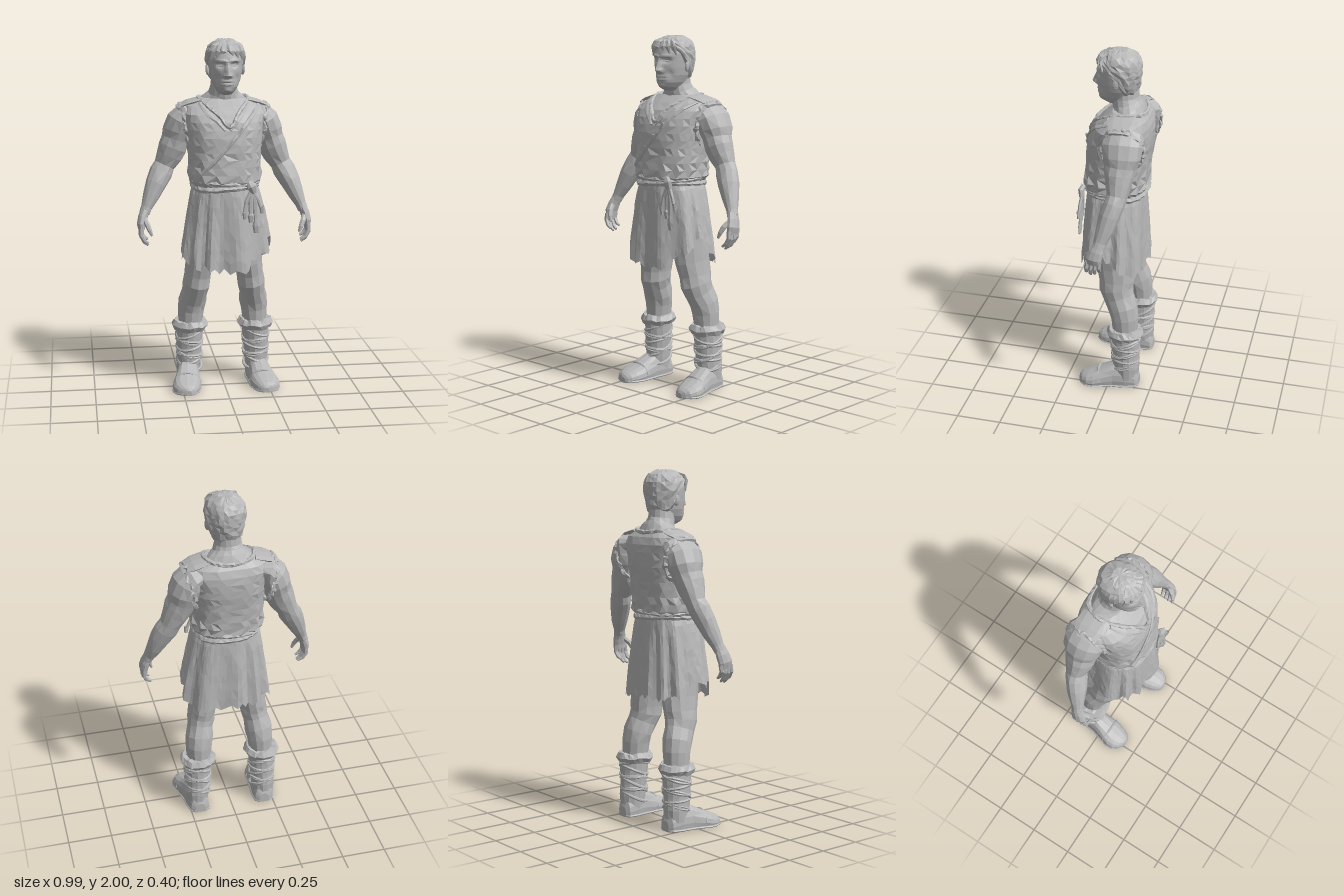
import * as THREE from 'three';

const V = (x, y, z) => new THREE.Vector3(x, y, z);
const grey = new THREE.MeshStandardMaterial({ color: 0xb8b8b8, flatShading: true, side: THREE.DoubleSide });
grey.name = 'clay grey';

// seeded noise in 0..1
const hash = (n) => { const s = Math.sin(n * 127.1 + 11.7) * 43758.5453; return s - Math.floor(s); };
const bump = (v, c, w) => Math.exp(-(((v - c) / w) ** 2));

function mesh(name, geometry, parent) {
  const m = new THREE.Mesh(geometry, grey);
  m.name = name;
  parent.add(m);
  return m;
}

// skin a list of closed rings, optionally capped at both ends
function loft(rings, caps = true) {
  const n = rings[0].length, pos = [], idx = [];
  rings.forEach((r) => r.forEach((p) => pos.push(p.x, p.y, p.z)));
  for (let i = 0; i < rings.length - 1; i++) for (let j = 0; j < n; j++) {
    const a = i * n + j, b = i * n + (j + 1) % n;
    if ((i + j) % 2) idx.push(a, a + n, b, b, a + n, b + n);
    else idx.push(a, a + n, b + n, a, b + n, b);
  }
  if (caps) [0, rings.length - 1].forEach((i) => {
    const c = rings[i].reduce((s, p) => s.add(p), V(0, 0, 0)).divideScalar(n), k = pos.length / 3;
    pos.push(c.x, c.y, c.z);
    for (let j = 0; j < n; j++) {
      const a = i * n + j, b = i * n + (j + 1) % n;
      if (i) idx.push(a, k, b); else idx.push(a, b, k);
    }
  });
  const g = new THREE.BufferGeometry();
  g.setAttribute('position', new THREE.Float32BufferAttribute(pos, 3));
  g.setIndex(idx);
  g.computeVertexNormals();
  return g;
}

// limb along rows of [x, y, z, half width, half depth]
function limb(rows, n = 12, rough = 0) {
  const at = rows.map((r) => V(r[0], r[1], r[2]));
  return loft(rows.map((r, i) => {
    const t = at[Math.min(i + 1, rows.length - 1)].clone().sub(at[Math.max(i - 1, 0)]).normalize();
    const u = V(1, 0, 0).addScaledVector(t, -t.x).normalize(), w = u.clone().cross(t);
    return Array.from({ length: n }, (_, j) => {
      const a = j / n * Math.PI * 2, k = 1 + rough * (hash(i * 31 + j) - 0.5);
      return at[i].clone().addScaledVector(u, Math.cos(a) * r[3] * k).addScaledVector(w, Math.sin(a) * r[4] * k);
    });
  }));
}

// interpolate profile rows of [y, half width, front z, back z]
function sample(profile, y) {
  let i = 0;
  while (i < profile.length - 2 && y > profile[i + 1][0]) i++;
  const [p, q] = [profile[i], profile[i + 1]];
  const t = THREE.MathUtils.clamp((y - p[0]) / (q[0] - p[0]), 0, 1);
  return p.map((v, k) => v + (q[k] - v) * t);
}
function around([, w, f, b], y, a, p, off = 0) {
  const c = Math.cos(a), s = Math.sin(a), zc = (f + b) / 2;
  const ex = (v) => Math.sign(v) * Math.abs(v) ** (2 / p);
  return V(ex(c) * (w + off), y, zc + ex(s) * ((f - b) / 2 + off));
}
const ringOf = (n, fn) => Array.from({ length: n }, (_, j) => fn(j / n * Math.PI * 2, j));
const tube = (pts, r, closed = false, n = 48) =>
  new THREE.TubeGeometry(new THREE.CatmullRomCurve3(pts, closed), n, r, 6, closed);

// shake vertices by position so seams stay shut
function ragged(g, amount) {
  const p = g.attributes.position;
  for (let i = 0; i < p.count; i++) {
    const k = Math.round(p.getX(i) * 1e4) + Math.round(p.getY(i) * 1e4) * 3 + Math.round(p.getZ(i) * 1e4) * 7;
    p.setXYZ(i, p.getX(i) + (hash(k) - 0.5) * amount, p.getY(i) + (hash(k + 1) - 0.5) * amount, p.getZ(i) + (hash(k + 2) - 0.5) * amount);
  }
  return g;
}

const HEAD = [[1.695, 0.035, 0.055, -0.07], [1.712, 0.048, 0.09, -0.08], [1.74, 0.067, 0.103, -0.09], [1.78, 0.083, 0.106, -0.105],
  [1.82, 0.091, 0.107, -0.115], [1.86, 0.096, 0.106, -0.12], [1.9, 0.099, 0.107, -0.122], [1.935, 0.092, 0.097, -0.115],
  [1.962, 0.074, 0.072, -0.098], [1.98, 0.048, 0.04, -0.073], [1.988, 0.02, 0.005, -0.04]];
const TORSO = [[1.18, 0.172, 0.15, -0.155], [1.21, 0.195, 0.175, -0.172], [1.235, 0.206, 0.183, -0.178], [1.28, 0.201, 0.174, -0.175],
  [1.35, 0.203, 0.17, -0.18], [1.45, 0.21, 0.164, -0.193], [1.52, 0.22, 0.15, -0.197], [1.58, 0.232, 0.122, -0.195],
  [1.615, 0.235, 0.088, -0.187], [1.642, 0.19, 0.05, -0.17], [1.67, 0.13, 0.02, -0.145]];

function buildHead(root) {
  const head = new THREE.Group();
  head.name = 'head';
  head.position.x = 0.006;
  root.add(head);
  // skull with brow, eyes, nose and mouth pushed in or out
  mesh('face', loft(Array.from({ length: 46 }, (_, i) => {
    const y = 1.695 + 0.293 * i / 45;
    return ringOf(64, (a) => {
      const p = around(sample(HEAD, y), y, a, 2.15), x = Math.abs(p.x);
      if (p.z > 0.02) {
        const nose = y < 1.805 ? bump(y, 1.805, 0.011) : Math.max(0, 1 - (y - 1.805) / 0.085);
        p.z += 0.034 * nose * bump(x, 0, 0.016) + 0.01 * bump(y, 1.805, 0.01) * bump(x, 0.018, 0.009)
          - 0.019 * bump(y, 1.862, 0.014) * bump(x, 0.038, 0.02) + 0.01 * bump(y, 1.86, 0.006) * bump(x, 0.038, 0.012)
          + 0.011 * bump(y, 1.885, 0.009) * bump(x, 0.035, 0.03) + 0.011 * bump(y, 1.764, 0.013) * bump(x, 0, 0.035)
          - 0.013 * bump(y, 1.764, 0.0045) * bump(x, 0, 0.032) + 0.008 * bump(y, 1.722, 0.013) * bump(x, 0, 0.028)
          - 0.009 * bump(y, 1.785, 0.025) * bump(x, 0.055, 0.015);
      }
      return p;
    });
  })), head);
  // cropped hair over the skull
  const hairline = (a) => {
    const s = Math.sin(a);
    return s > 0.1 ? 1.84 + 0.085 * Math.min(1, (s - 0.1) / 0.45) : 1.84 - 0.1 * Math.min(1, (0.1 - s) / 0.6);
  };
  mesh('hair', loft(Array.from({ length: 11 }, (_, i) => ringOf(30, (a, j) => {
    const low = hairline(a) + (hash(j) - 0.5) * 0.022, y = low + (1.987 - low) * (i / 10) ** 0.85;
    const p = around(sample(HEAD, y), y, a, 2.1, i ? 0.008 + 0.01 * hash(i * 41 + j) : -0.004);
    p.y += i / 10 * 0.006 + (i > 6 ? 0.006 * hash(i + j * 7) : 0);
    return p;
  }))), head);
  // locks swept from the parting: [root x, tip x, tip y]
  for (const [x, tx, ty] of [[0, 0.03, 1.915], [0.015, 0.06, 1.9], [0.03, 0.088, 1.89], [-0.01, -0.03, 1.925], [-0.02, -0.06, 1.9], [-0.035, -0.09, 1.885]]) {
    const mx = (x + tx) / 2, qx = (mx + tx) / 2, depth = (v) => 0.11 - v * v * 6;
    mesh('fringeLock', limb([[x, 1.982, 0.04, 0.006, 0.005], [mx, 1.96, depth(mx) - 0.016, 0.021, 0.012],
      [qx, 1.935, depth(qx) - 0.002, 0.019, 0.011], [tx, ty, depth(tx), 0.004, 0.004]], 6, 0.3), head);
  }
  for (const s of [-1, 1]) {
    const ear = mesh('ear', new THREE.SphereGeometry(1, 9, 7), head);
    ear.scale.set(0.012, 0.034, 0.021);
    ear.position.set(s * 0.098, 1.832, -0.012);
    ear.rotation.set(-0.15, s * 0.35, 0);
  }
  // neck spreading into sloped shoulder muscles
  mesh('neck', limb([[0, 1.6, -0.06, 0.2, 0.11], [0, 1.645, -0.07, 0.16, 0.095], [0, 1.672, -0.06, 0.118, 0.085], [0, 1.7, -0.05, 0.085, 0.08], [0, 1.73, -0.043, 0.075, 0.077], [0, 1.78, -0.04, 0.07, 0.075]], 16, 0.05), root);
}

function buildTunic(root) {
  // bodice with soft creases gathered at the waist
  mesh('tunicBody', loft(Array.from({ length: 13 }, (_, i) => {
    const y = 1.18 + 0.49 * i / 12;
    return ringOf(28, (a, j) => {
      const aa = a + (i % 2) * 0.11;
      return around(sample(TORSO, y), y, aa, 2.6, 0.009 * Math.sin(aa * 13 + y * 9) * bump(y, 1.23, 0.1) + 0.006 * (hash(i * 53 + j) - 0.5));
    });
  })), root);
  const front = (x, y, off) => {
    const [, w, f, b] = sample(TORSO, y), zc = (f + b) / 2;
    return V(x, y, zc + (f - zc) * Math.max(0, 1 - Math.abs(x / w) ** 2.6) ** (1 / 2.6) + off);
  };
  // neckline: round behind, V in front
  mesh('collar', ragged(tube([front(0.015, 1.525, 0.005), front(0.06, 1.59, 0.004), V(0.115, 1.645, 0.03), V(0.138, 1.67, -0.06), V(0.1, 1.665, -0.138),
    V(0, 1.655, -0.162), V(-0.1, 1.665, -0.138), V(-0.138, 1.67, -0.06), V(-0.115, 1.645, 0.03), front(-0.05, 1.59, 0.004)], 0.012, true, 60), 0.006), root);
  for (const s of [-1, 1]) {
    mesh('lapel', limb([[s * 0.13, 1.65, 0.015, 0.025, 0.008], [s * 0.095, 1.605, 0.087, 0.03, 0.008], [s * 0.05, 1.56, 0.133, 0.02, 0.008], [s * 0.015, 1.51, 0.155, 0.006, 0.006]], 6, 0.2), root);
  }
  // diagonal strap with small lacing knots
  const strap = Array.from({ length: 12 }, (_, i) => front(0.19 - 0.33 * i / 11, 1.635 - 0.365 * i / 11, 0.003));
  mesh('strap', limb(strap.map((p) => [p.x, p.y, p.z, 0.014, 0.007]), 6), root);
  for (const i of [4, 6, 8]) mesh('strapKnot', limb([[strap[i].x - 0.018, strap[i].y - 0.022, strap[i].z + 0.006, 0.006, 0.006], [strap[i].x + 0.012, strap[i].y + 0.022, strap[i].z + 0.006, 0.006, 0.006]], 5), root);
  // flared skirt with folds and a torn hem
  mesh('skirt', loft(Array.from({ length: 9 }, (_, i) => ringOf(72, (a, j) => {
    const c = Math.cos(a), s = Math.sin(a), t = 1 - i / 8;
    const hem = 0.735 + 0.1 * bump(s, 0.05, 0.38) + (s > 0 && c > 0.4 ? 0.05 : 0)
      + 0.1 * bump(a, 2.4, 0.07) + 0.045 * (hash(j + 5) - 0.5) - (s > 0 ? 0.02 * bump(c, 0, 0.3) : 0);
    const y = 1.2 - (1.2 - hem) * t, flare = Math.min(1, (1.2 - y) / 0.46) ** 0.7;
    const fold = 0.014 * flare * Math.sin(a * 11 + Math.sin(a * 3) * 1.5) + 0.004 * (hash(i * 77 + j) - 0.5);
    const p = around([y, 0.176 + 0.088 * flare, 0.158 + 0.03 * flare, -0.152 - 0.022 * flare], y, a, 2.4, fold);
    p.x += 0.01 * flare;
    return p;
  })), false), root);
  // wound belt, knot and hanging ends
  [[1.185, 0.174, 0.017], [1.212, 0.179, 0.016]].forEach(([y, w, r], k) => mesh('beltCoil',
    ragged(tube(ringOf(20, (a, j) => around([y, w, 0.165, -0.16], y + 0.007 * Math.sin(a * 2 + k * 3), a, 2.4, 0.004 * hash(j + k))), r, true, 64), 0.005), root));
  mesh('beltKnot', limb([[0.115, 1.225, 0.168, 0.016, 0.014], [0.132, 1.2, 0.178, 0.03, 0.018], [0.145, 1.165, 0.174, 0.018, 0.014]], 7, 0.2), root);
  [[0.09, 1.02, 0.012], [0.125, 1.0, 0.016], [0.155, 0.94, 0.018], [0.185, 1.05, 0.012]].forEach(([x, y, r]) => mesh('beltEnd', limb([
    [0.135, 1.19, 0.17, 0.012, 0.01], [0.13 + (x - 0.13) * 0.7, 1.12, 0.178, r, 0.009], [x, (y + 1.1) / 2, 0.18, r * 0.8, 0.009],
    [x, y + 0.04, 0.182, r * 1.2, 0.01], [x + 0.004, y, 0.18, r, 0.006]], 6, 0.35), root));
}

function buildArm(parent) {
  mesh('arm', limb([[0.15, 1.59, -0.08, 0.04, 0.08], [0.2, 1.583, -0.08, 0.068, 0.108], [0.234, 1.54, -0.08, 0.083, 0.116], [0.254, 1.48, -0.082, 0.086, 0.104],
    [0.268, 1.435, -0.08, 0.079, 0.09], [0.284, 1.39, -0.076, 0.08, 0.083], [0.305, 1.345, -0.076, 0.073, 0.072], [0.332, 1.29, -0.075, 0.06, 0.056], [0.352, 1.25, -0.064, 0.065, 0.058],
    [0.382, 1.19, -0.045, 0.059, 0.057], [0.413, 1.12, -0.027, 0.045, 0.048], [0.44, 1.06, -0.008, 0.031, 0.036], [0.452, 1.03, 0, 0.029, 0.035]], 12, 0.07), parent);
  mesh('palm', limb([[0.448, 1.045, -0.002, 0.026, 0.034], [0.462, 1.01, 0.008, 0.027, 0.041], [0.472, 0.97, 0.018, 0.025, 0.046], [0.47, 0.94, 0.021, 0.018, 0.044]], 10, 0.08), parent);
  // curled fingers and thumb
  [0.056, 0.033, 0.01, -0.013].forEach((z, i) => {
    const l = [0.075, 0.09, 0.085, 0.065][i];
    mesh('finger', limb([[0.472, 0.955, z, 0.014, 0.012], [0.474, 0.95 - l * 0.45, z + 0.004, 0.013, 0.012], [0.456, 0.945 - l * 0.8, z + 0.007, 0.011, 0.011], [0.434, 0.945 - l, z + 0.01, 0.007, 0.007]], 6), parent);
  });
  mesh('thumb', limb([[0.455, 1.005, 0.03, 0.015, 0.015], [0.44, 0.975, 0.062, 0.016, 0.014], [0.427, 0.945, 0.075, 0.013, 0.012], [0.415, 0.915, 0.08, 0.007, 0.007]], 7), parent);
  // frayed armhole edge
  mesh('armholeTrim', ragged(tube(ringOf(16, (a) => V(0.22 + 0.026 * Math.sin(a), 1.508 + 0.125 * Math.sin(a), -0.075 + 0.114 * Math.cos(a))), 0.012, true, 40), 0.017), parent);
  mesh('shoulderRag', limb([[0.13, 1.66, -0.07, 0.014, 0.075], [0.2, 1.643, -0.07, 0.013, 0.08], [0.262, 1.618, -0.07, 0.009, 0.06]], 9, 0.25), parent);
}

function buildLeg(parent) {
  mesh('leg', limb([[0.115, 0.98, -0.01, 0.1, 0.12], [0.125, 0.85, -0.015, 0.092, 0.12], [0.138, 0.74, -0.022, 0.082, 0.115], [0.15, 0.66, -0.03, 0.077, 0.102],
    [0.158, 0.61, -0.03, 0.08, 0.1], [0.166, 0.56, -0.048, 0.073, 0.09], [0.178, 0.5, -0.073, 0.081, 0.086], [0.185, 0.44, -0.084, 0.078, 0.08], [0.19, 0.34, -0.088, 0.066, 0.073]], 12, 0.06), parent);
  // fur cuff
  mesh('bootCuff', ragged(tube(ringOf(14, (a, j) => V(0.192 + 0.073 * Math.cos(a), 0.347 + 0.01 * (hash(j) - 0.5), -0.09 + 0.077 * Math.sin(a))), 0.031, true, 26), 0.009), parent);
  mesh('bootShaft', limb([[0.192, 0.35, -0.09, 0.078, 0.085], [0.195, 0.27, -0.092, 0.077, 0.083], [0.198, 0.19, -0.095, 0.072, 0.079], [0.2, 0.12, -0.098, 0.07, 0.077], [0.202, 0.05, -0.1, 0.066, 0.07]], 14, 0.06), parent);
  // criss-cross bindings
  for (let i = 0; i < 8; i++) {
    const y = 0.3 - i * 0.026, tilt = (i % 2 ? 1 : -1) * (0.012 + 0.018 * hash(i)), k = 1 - i * 0.012;
    mesh('bootBinding', tube(ringOf(14, (a) => V(0.195 + 0.075 * k * Math.cos(a), y + tilt * Math.cos(a + i) - 0.012 * Math.sin(a), -0.093 + 0.081 * k * Math.sin(a))), 0.009, true, 28), parent);
  }
  // foot sections run heel to toe: [z, centre x, half width, height]
  const foot = [[-0.174, 0.196, 0.03, 0.06], [-0.16, 0.197, 0.054, 0.1], [-0.1, 0.202, 0.066, 0.14], [-0.03, 0.209, 0.067, 0.14], [0.03, 0.218, 0.076, 0.11],
    [0.08, 0.226, 0.083, 0.085], [0.12, 0.231, 0.076, 0.07], [0.152, 0.23, 0.057, 0.056], [0.168, 0.226, 0.036, 0.044], [0.176, 0.222, 0.015, 0.03]];
  const section = ([z, x, w, h], grow, top) => ringOf(16, (a) => {
    const c = Math.cos(a), s = Math.sin(a), hh = top || h;
    return V(x + Math.sign(c) * Math.abs(c) ** 0.75 * (w + grow), Math.max(0, hh * (s > 0 ? 0.3 + 0.7 * s : 0.3 + 0.3 * Math.sign(s) * Math.abs(s) ** 0.4)), z);
  });
  mesh('foot', loft(foot.map((f) => section(f, 0))), parent);
  mesh('sole', loft(foot.map((f) => section(f, 0.003, 0.022))), parent);
  mesh('footStrap', tube([V(0.142, 0.035, 0.05), V(0.17, 0.08, 0.055), V(0.224, 0.097, 0.06), V(0.278, 0.074, 0.05), V(0.298, 0.035, 0.045)], 0.007, false, 16), parent);
}

export function createModel() {
  const root = new THREE.Group();
  root.name = 'tunicMan';
  buildHead(root);
  buildTunic(root);
  for (const [side, s] of [['left', 1], ['right', -1]]) {
    const limbs = new THREE.Group();
    limbs.name = side + 'Limbs';
    limbs.scale.x = s;
    buildArm(limbs);
    buildLeg(limbs);
    root.add(limbs);
  }
  return root;
}
